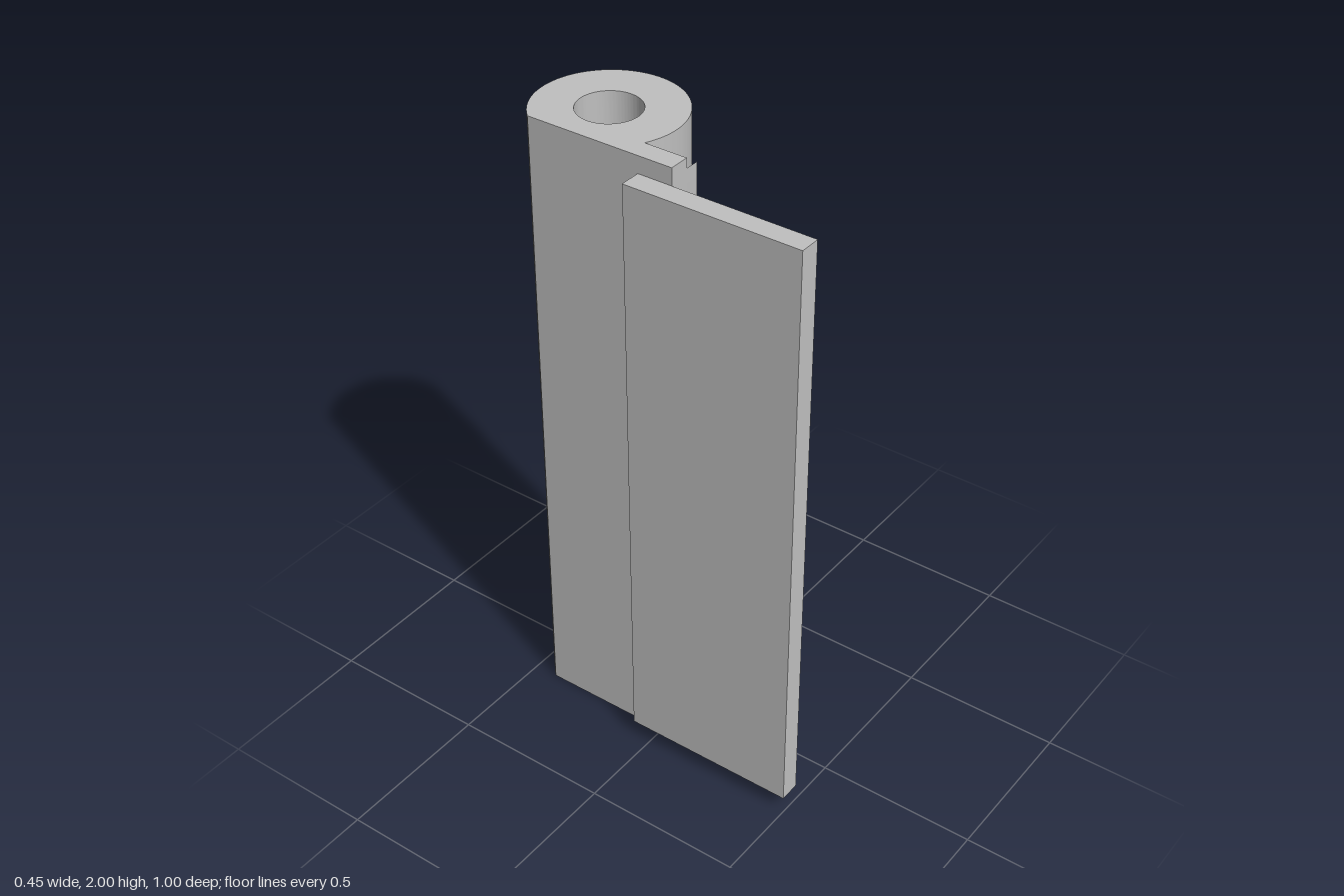
import * as THREE from 'three';
import { toCreasedNormals } from 'three/addons/utils/BufferGeometryUtils.js';

const steel = new THREE.MeshStandardMaterial({ color: 0xc0c0c0 });
steel.name = 'plain grey';

function extrude(shape, depth, curveSegments) {
  return new THREE.ExtrudeGeometry(shape, { depth, curveSegments, bevelEnabled: false });
}

function part(name, geometry) {
  const mesh = new THREE.Mesh(toCreasedNormals(geometry, 0.5), steel);
  mesh.name = name;
  return mesh;
}

// Hinge barrel with its flat web, one P-shaped profile extruded upwards (profile y = -z)
function barrel() {
  const cx = 0.004, cy = 0.279, r = 0.221, back = -0.163, inner = -0.098, front = -0.053;
  const shape = new THREE.Shape();
  shape.moveTo(back, front);
  shape.lineTo(inner, front);
  shape.absarc(cx, cy, r, -Math.acos((inner - cx) / r), Math.acos((back - cx) / r), false);
  shape.closePath();
  const bore = new THREE.Path();
  bore.absarc(cx, cy, 0.095, 0, Math.PI * 2, true);
  shape.holes.push(bore);
  return part('barrelWithWeb', extrude(shape, 2, 64).rotateX(-Math.PI / 2));
}

// Bowed rib with two pockets and a centre stub, profile x = -z, extruded along x
function rib() {
  const front = -0.053, apex = 0.057, R = 4.33, r = R - 0.065;
  const c = apex - R;
  const outer = Math.acos((front - c) / R), end = Math.acos((front - c) / r);
  const top = Math.asin(0.035 / r), bottom = Math.asin(-0.03 / r);
  const shape = new THREE.Shape();
  shape.absarc(c, 1, R, -outer, outer, false);
  shape.absarc(c, 1, r, end, top, true);
  shape.lineTo(front, 1.035);
  shape.lineTo(front, 0.97);
  shape.absarc(c, 1, r, bottom, -end, true);
  shape.closePath();
  const geometry = extrude(shape, 0.045, 24).rotateY(Math.PI / 2);
  return part('bowedRib', geometry.translate(-0.098, 0, 0));
}

// Flat leaf lapped against the outside of the web
function leaf() {
  const geometry = new THREE.BoxGeometry(0.066, 1.89, 0.557);
  return part('leafPlate', geometry.translate(-0.196, 1.002, 0.2215));
}

export function createModel() {
  const group = new THREE.Group();
  group.name = 'hinge';
  group.add(barrel(), rib(), leaf());
  return group;
}
